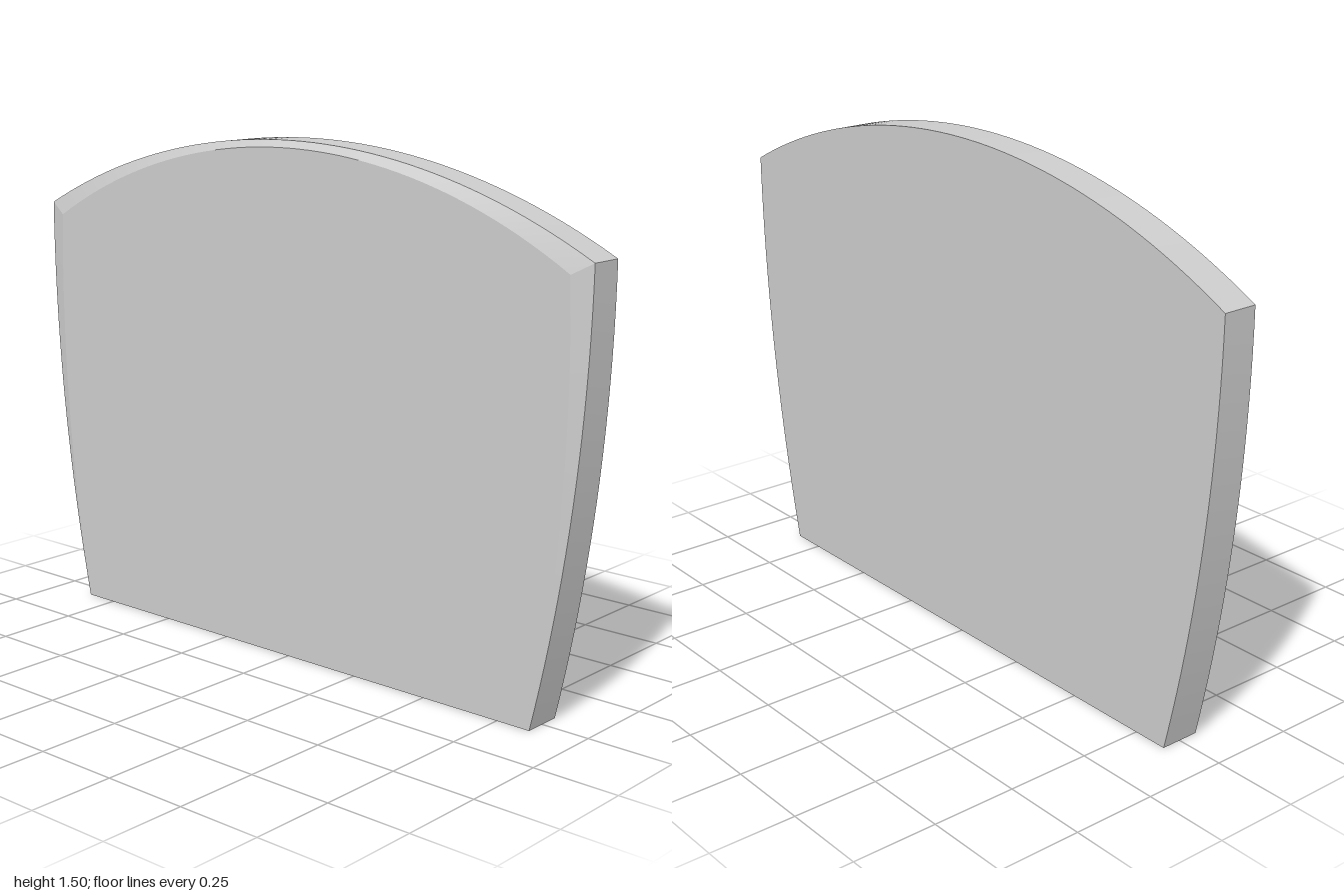
import * as THREE from 'three';
import { toCreasedNormals } from 'three/addons/utils/BufferGeometryUtils.js';

const BACK = -0.06, FRONT = 0.06, RIM_DROP = 0.016;
const SIDE_STEPS = 20, TOP_STEPS = 48;

// Height of a shallow circular arch of given half width, corner height and crown height
function archY(x, half, corner, crown) {
  const sag = crown - corner;
  const r = (half * half + sag * sag) / (2 * sag);
  return crown - r + Math.sqrt(r * r - x * x);
}

// Right side going up, across the arch, left side going down.
// Each station has an outer rim point and an inner front-face point.
function outlineStations() {
  const right = [];
  for (let i = 0; i <= SIDE_STEPS; i++) {
    const t = i / SIDE_STEPS;
    const x = 1 - 0.145 * (1 - t) ** 2;
    right.push({
      outer: [x, 1.255 * t, FRONT - RIM_DROP * t],
      inner: [x - 0.06 * t, 1.222 * t, FRONT],
    });
  }
  const top = [];
  for (let i = 1; i < TOP_STEPS; i++) {
    const u = 1 - (2 * i) / TOP_STEPS;
    top.push({
      outer: [u, archY(u, 1, 1.255, 1.5), FRONT - RIM_DROP],
      inner: [0.94 * u, archY(0.94 * u, 0.94, 1.222, 1.48), FRONT],
    });
  }
  const flip = ([x, y, z]) => [-x, y, z];
  const left = right.map(s => ({ outer: flip(s.outer), inner: flip(s.inner) })).reverse();
  return [...right, ...top, ...left];
}

function panelGeometry() {
  const stations = outlineStations();
  const inner = stations.map(s => s.inner);
  const rim = stations.map(s => s.outer);
  const back = rim.map(([x, y]) => [x, y, BACK]);
  const pos = [];
  const tri = (a, b, c) => pos.push(...a, ...b, ...c);

  // Edge wall and tapering front bevel
  const band = (lo, hi, count) => {
    for (let i = 0; i < count; i++) {
      const j = (i + 1) % lo.length;
      tri(lo[i], lo[j], hi[j]);
      tri(lo[i], hi[j], hi[i]);
    }
  };
  band(back, rim, rim.length);
  band(rim, inner, rim.length - 1);

  // Flat front and back faces
  const cap = (ring, reverse) => {
    const contour = ring.map(([x, y]) => new THREE.Vector2(x, y));
    for (const [a, b, c] of THREE.ShapeUtils.triangulateShape(contour, [])) {
      if (reverse) tri(ring[c], ring[b], ring[a]);
      else tri(ring[a], ring[b], ring[c]);
    }
  };
  cap(inner, false);
  cap(back, true);

  const geometry = new THREE.BufferGeometry();
  geometry.setAttribute('position', new THREE.Float32BufferAttribute(pos, 3));
  return toCreasedNormals(geometry, 0.15);
}

export function createModel() {
  const group = new THREE.Group();
  group.name = 'archedPanel';
  const panel = new THREE.Mesh(panelGeometry(), new THREE.MeshStandardMaterial({ color: 0xcccccc }));
  panel.name = 'bevelledPanel';
  group.add(panel);
  return group;
}
